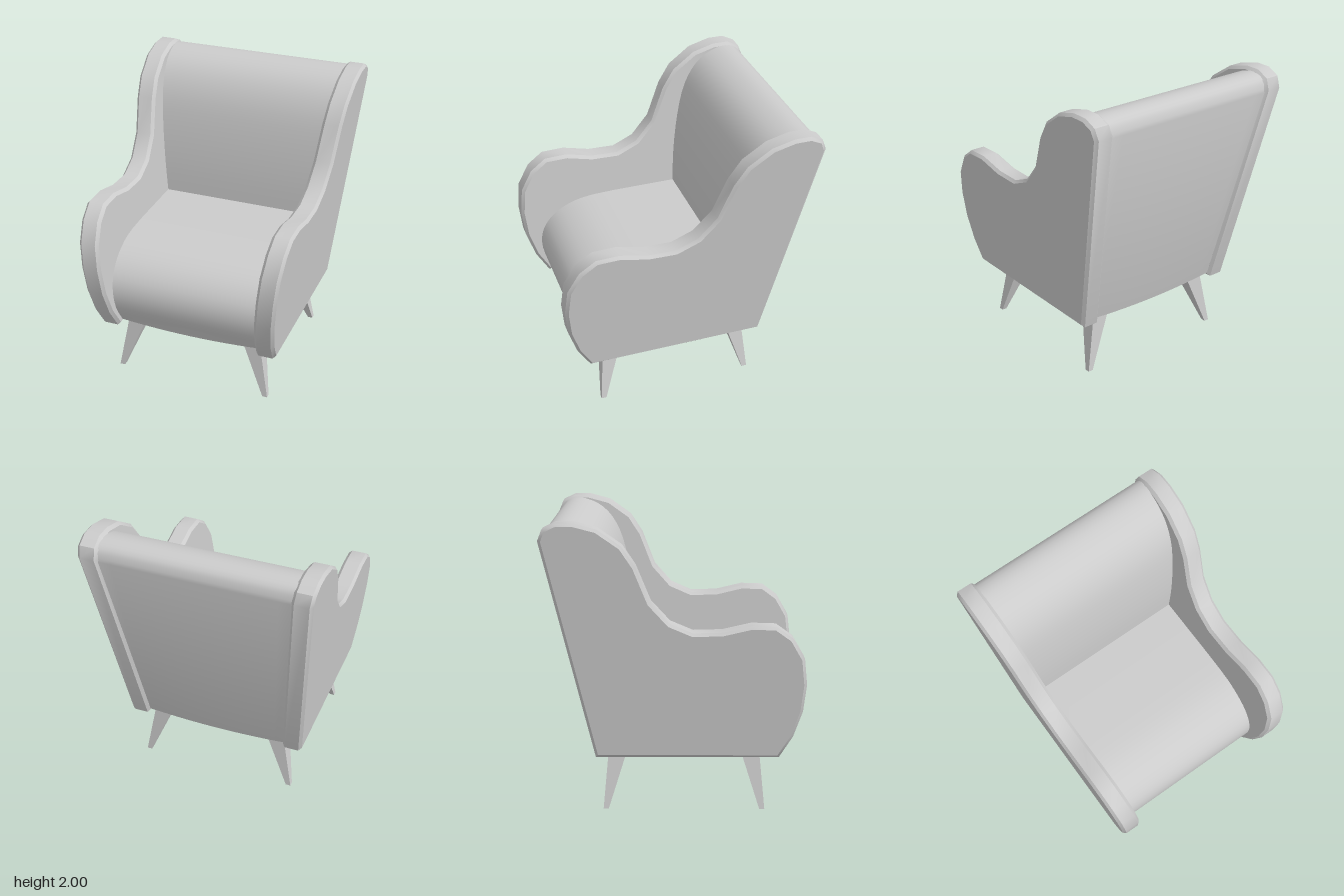
import * as THREE from 'three';
import { toCreasedNormals } from 'three/addons/utils/BufferGeometryUtils.js';

const LEAN = 0.093; // outward lean of the sides per unit of height

// Applies a rule to every vertex of a geometry.
function moveVertices(geo, rule) {
  const pos = geo.attributes.position;
  const v = new THREE.Vector3();
  for (let i = 0; i < pos.count; i++) {
    rule(v.fromBufferAttribute(pos, i));
    pos.setXYZ(i, v.x, v.y, v.z);
  }
  return geo;
}

// Extrudes a [z, y] profile along x, centred on x = 0.
function extrudeAcross(profile, width, options) {
  const shape = new THREE.Shape(profile.map(([z, y]) => new THREE.Vector2(-z, y)));
  const bevel = options.bevelEnabled ? options.bevelThickness : 0;
  const geo = new THREE.ExtrudeGeometry(shape, { depth: width - 2 * bevel, ...options });
  geo.translate(0, 0, -(width - 2 * bevel) / 2);
  return geo.rotateY(Math.PI / 2);
}

export function createModel() {
  const group = new THREE.Group();
  const material = new THREE.MeshStandardMaterial({ color: 0xcccccc });
  const add = (name, geo) => {
    const mesh = new THREE.Mesh(geo, material);
    mesh.name = name;
    group.add(mesh);
  };

  // Side panels: armrest and wing in one outline, leaning outwards
  const sideProfile = [
    [0.70, 0.40], [0.79, 0.55], [0.85, 0.73], [0.87, 0.92], [0.85, 1.10],
    [0.77, 1.24], [0.66, 1.32], [0.50, 1.325], [0.31, 1.28], [0.12, 1.275],
    [-0.03, 1.34], [-0.155, 1.48], [-0.25, 1.72], [-0.335, 1.85], [-0.49, 1.96],
    [-0.64, 2.0], [-0.75, 2.0], [-0.835, 1.96], [-0.865, 1.885], [-0.53, 0.40],
  ];
  for (const [name, s] of [['leftSide', 1], ['rightSide', -1]]) {
    const geo = extrudeAcross(sideProfile, 0.14, {
      bevelEnabled: true, bevelThickness: 0.02, bevelSize: 0.02,
      bevelOffset: -0.02, bevelSegments: 1,
    });
    moveVertices(geo, v => { v.x += s * (0.627 + LEAN * (v.y - 1)); });
    add(name, toCreasedNormals(geo, 0.7));
  }

  // Upholstered seat and backrest, widening with height and sagging below
  const seatFront = new THREE.SplineCurve([
    [0.15, 0.98], [0.38, 0.97], [0.53, 0.93], [0.64, 0.865], [0.715, 0.77],
    [0.74, 0.66], [0.72, 0.54], [0.66, 0.43],
  ].map(p => new THREE.Vector2(...p))).getPoints(18);
  const backFront = new THREE.SplineCurve([
    [-0.845, 1.87], [-0.82, 1.945], [-0.75, 1.98], [-0.66, 1.975], [-0.55, 1.925],
    [-0.46, 1.83], [-0.39, 1.68], [-0.34, 1.45], [-0.31, 1.2], [-0.30, 0.98],
  ].map(p => new THREE.Vector2(...p))).getPoints(24);
  const bodyProfile = [...backFront, ...seatFront].map(p => [p.x, p.y]);
  bodyProfile.push([-0.515, 0.43]);
  const body = extrudeAcross(bodyProfile, 2, { bevelEnabled: false, steps: 12 });
  moveVertices(body, v => {
    if (v.y < 0.44) v.y -= 0.025 * (1 - v.x * v.x);
    v.x *= 0.585 + LEAN * (v.y - 1);
  });
  add('seatAndBack', toCreasedNormals(body, 0.7));

  // Splayed square legs, each with a flared collar under the frame
  const squareTaper = (top, bottom, y0, y1) => {
    const r = Math.SQRT2;
    const geo = new THREE.CylinderGeometry(top * r, bottom * r, y1 - y0, 4);
    return geo.rotateY(Math.PI / 4).translate(0, (y0 + y1) / 2, 0);
  };
  const flat = geo => {
    const out = geo.toNonIndexed();
    out.computeVertexNormals();
    return out;
  };
  for (const sx of [1, -1]) {
    for (const [end, zTop, zFoot] of [['front', 0.515, 0.597], ['back', -0.39, -0.47]]) {
      const leg = squareTaper(0.062, 0.0175, 0, 0.39);
      moveVertices(leg, v => {
        const t = 1 - v.y / 0.39;
        v.x += sx * (0.428 + 0.115 * t);
        v.z += zTop + (zFoot - zTop) * t;
      });
      add(end + 'Leg', flat(leg));
      const collar = squareTaper(0.08, 0.062, 0.385, 0.405);
      add(end + 'LegCollar', flat(collar.translate(sx * 0.428, 0, zTop)));
      const plate = squareTaper(0.08, 0.08, 0.405, 0.43);
      add(end + 'LegPlate', flat(plate.translate(sx * 0.428, 0, zTop)));
    }
  }
  return group;
}
